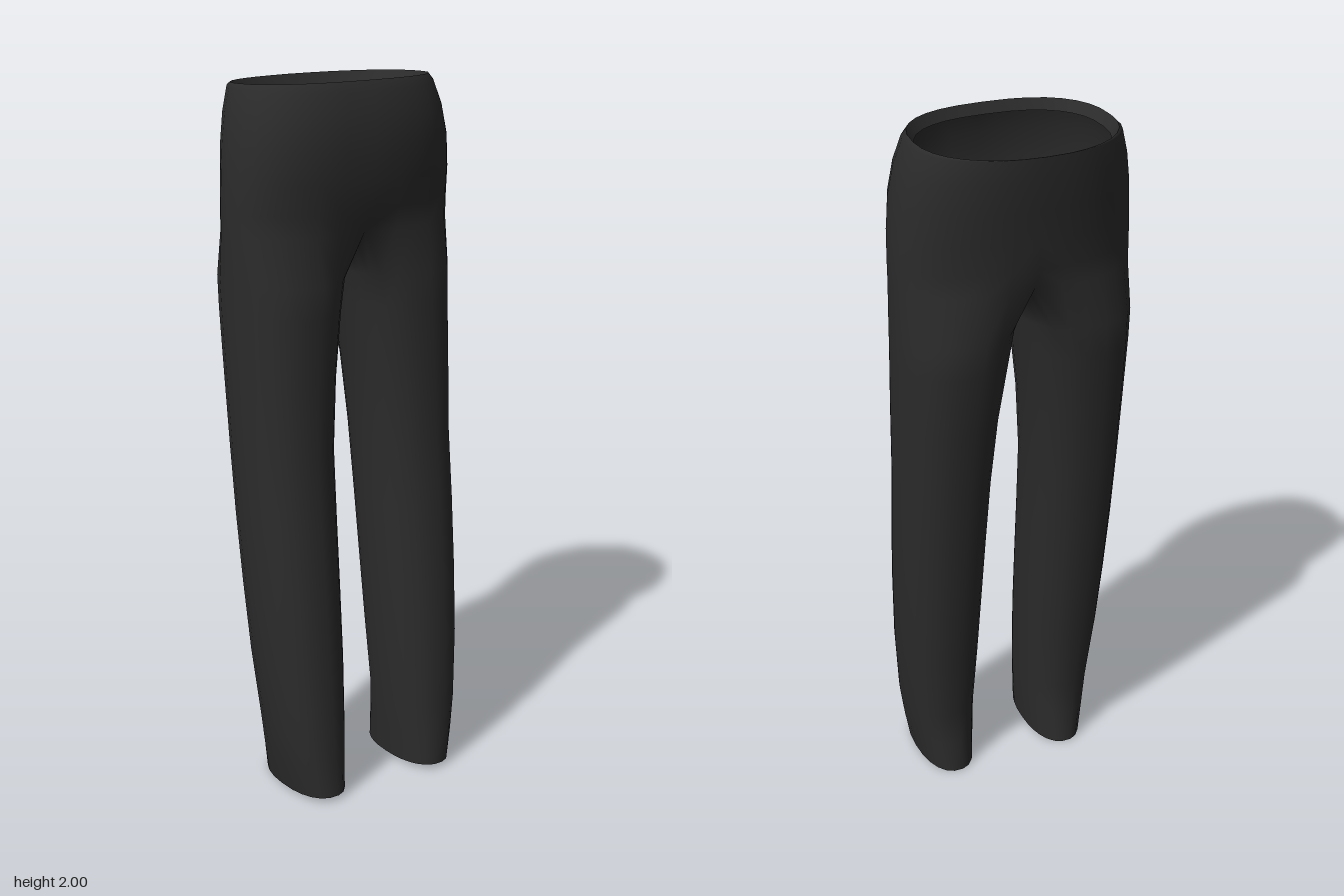
import * as THREE from 'three';
import { mergeVertices } from 'three/addons/utils/BufferGeometryUtils.js';

const OUT = 16; // steps round the outside of each half
const INN = 8;  // steps along the inner thigh
const RING = OUT + INN;

// y, half width, front z, back z
const HIPS = [
  [2.0, 0.275, 0.15, -0.255], [1.975, 0.287, 0.163, -0.257], [1.91, 0.308, 0.178, -0.25],
  [1.83, 0.323, 0.183, -0.238], [1.74, 0.331, 0.172, -0.222], [1.66, 0.334, 0.157, -0.213],
  [1.6, 0.334, 0.154, -0.211],
];
// y, inner x, outer x, front z, back z
const LEGS = [
  [1.47, 0.01, 0.332, 0.154, -0.207], [1.38, 0.025, 0.331, 0.155, -0.2], [1.2, 0.049, 0.329, 0.16, -0.175],
  [1.0, 0.064, 0.326, 0.167, -0.15], [0.8, 0.07, 0.324, 0.19, -0.125], [0.6, 0.075, 0.318, 0.213, -0.1],
  [0.4, 0.08, 0.309, 0.233, -0.073], [0.2, 0.088, 0.292, 0.247, -0.045], [0.1, 0.094, 0.277, 0.254, -0.05],
  [0, 0.1, 0.26, 0.26, -0.058],
];

const spow = (v, p) => Math.sign(v) * Math.abs(v) ** p;

// Half ring of the hips, from centre front round the side to centre back
function hipRing([y, w, zf, zb], isWaist, isCrotch) {
  const zc = (zf + zb) / 2, h = (zf - zb) / 2, pts = [];
  for (let j = 0; j <= OUT; j++) {
    const a = Math.PI * j / OUT, c = Math.cos(a);
    const p = c > 0 ? 2 / 2.5 : 2 / 2.2;
    const x = j % OUT ? w * Math.sin(a) ** p : 0;
    let z = h * spow(c, p);
    if (isCrotch) z *= 1 - 0.14 * Math.exp(-((x / 0.08) ** 2));
    const drop = isWaist ? 0.025 * (0.5 - z / h / 2) : 0;
    pts.push(new THREE.Vector3(x, y - drop, z + zc));
  }
  if (isCrotch) { // seam running under the body from back to front
    const front = pts[0].z, back = pts[OUT].z;
    for (let k = 1; k < INN; k++) {
      const u = k / INN, d = u < 0.6 ? 1 - u / 0.6 : (u - 0.6) / 0.4;
      pts.push(new THREE.Vector3(0, 1.53 + (y - 1.53) * d * d, back + (front - back) * u));
    }
    pts.push(pts[0].clone());
  }
  return pts;
}

// Closed ring of a leg, starting at its inner front
function legRing([y, xi, xo, zf, zb]) {
  const pts = [], start = -0.7;
  for (let j = 0; j <= RING; j++) {
    const a = j <= OUT
      ? start + (Math.PI - 2 * start) * j / OUT
      : Math.PI - start + (Math.PI + 2 * start) * (j - OUT) / INN;
    const s = spow(Math.sin(a), 0.88), c = spow(Math.cos(a), 0.88);
    const tilt = y === 0 ? 0.015 * (0.5 + c / 2) : 0;
    pts.push(new THREE.Vector3((xi + xo) / 2 + s * (xo - xi) / 2, y + tilt, (zf + zb) / 2 + c * (zf - zb) / 2));
  }
  return pts;
}

// Join successive rings, mirrored to both sides, with smooth normals
function loft(rings) {
  const pos = [];
  for (const side of [1, -1]) {
    const put = (...vs) => {
      if (side < 0) vs.reverse();
      for (const v of vs) pos.push(v.x * side, v.y, v.z);
    };
    for (let r = 0; r + 1 < rings.length; r++) {
      const A = rings[r], B = rings[r + 1], n = Math.min(A.length, B.length) - 1;
      for (let j = 0; j < n; j++) {
        put(A[j], B[j], A[j + 1]);
        put(A[j + 1], B[j], B[j + 1]);
      }
    }
  }
  let g = new THREE.BufferGeometry();
  g.setAttribute('position', new THREE.Float32BufferAttribute(pos, 3));
  g = mergeVertices(g, 1e-4);
  g.computeVertexNormals();
  return g;
}

// Narrow turned-in edge of an opening
function inset(ring, cx, cz, scale, dy) {
  return ring.map(p => new THREE.Vector3(cx + (p.x - cx) * scale, p.y + dy, cz + (p.z - cz) * scale));
}

export function createModel() {
  const group = new THREE.Group();
  group.name = 'trousers';
  const cloth = new THREE.MeshStandardMaterial({ color: 0x2b2b2b, side: THREE.DoubleSide });
  cloth.name = 'charcoal cloth';
  const add = (name, rings) => {
    const mesh = new THREE.Mesh(loft(rings), cloth);
    mesh.name = name;
    group.add(mesh);
  };

  const hips = HIPS.map((s, i) => hipRing(s, i === 0, i === HIPS.length - 1));
  const legs = LEGS.map(legRing);
  add('hipsAndLegs', [...hips, ...legs]);

  // Turned-in waistband and leg hems
  add('waistband', [inset(hips[0], 0, -0.05, 0.93, -0.03), hips[0]]);
  add('legHems', [legs.at(-1), inset(legs.at(-1), 0.18, 0.1, 0.86, 0.03)]);
  return group;
}
